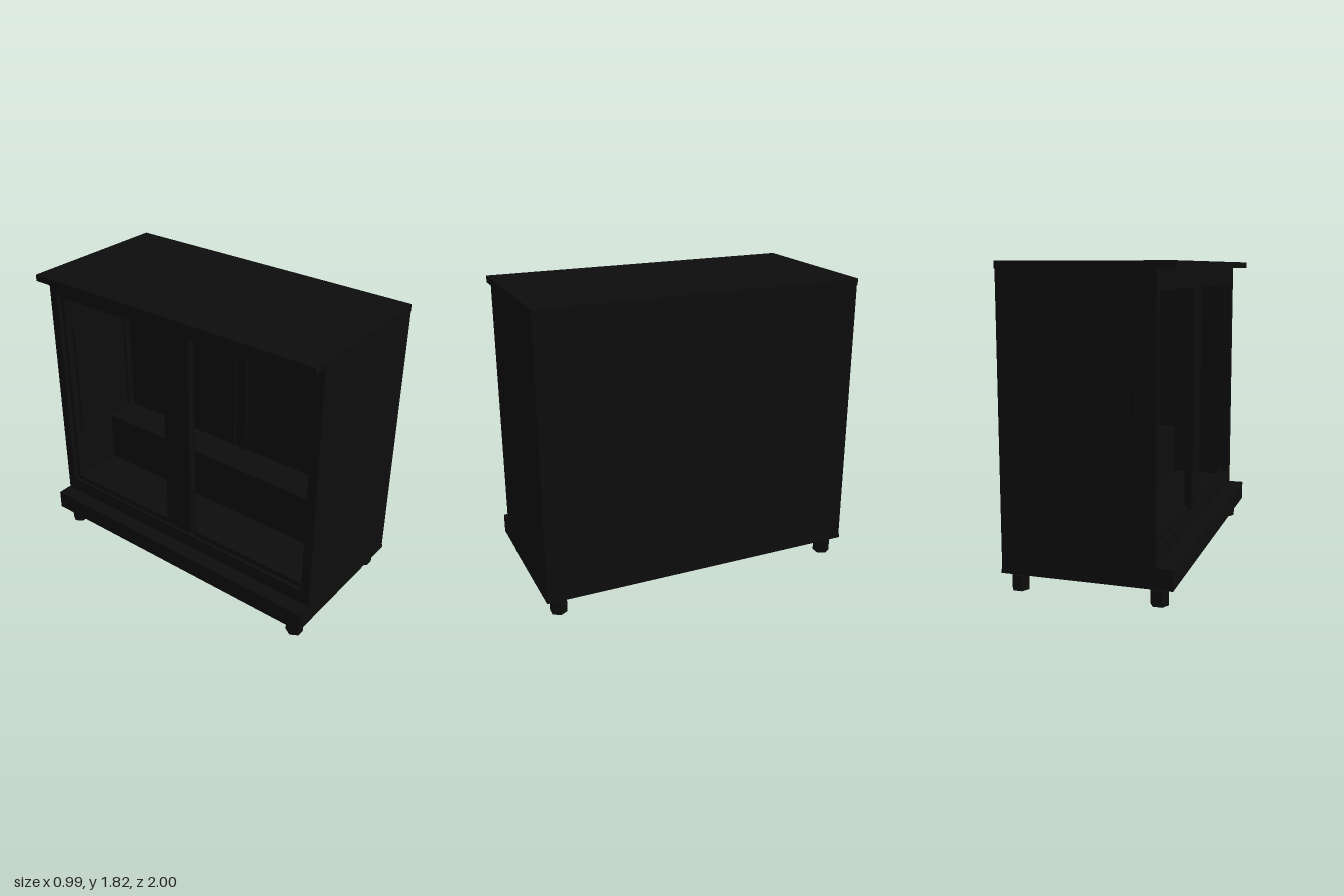
import * as THREE from 'three';

export function createModel() {
  const model = new THREE.Group();
  const black = new THREE.MeshStandardMaterial({ color: 0x0d0d0d });

  const add = (name, geometry) => {
    const mesh = new THREE.Mesh(geometry, black);
    mesh.name = name;
    model.add(mesh);
    return mesh;
  };
  // box given by its limits along each axis
  const box = (name, [x0, x1], [y0, y1], [z0, z1]) => {
    const mesh = add(name, new THREE.BoxGeometry(x1 - x0, y1 - y0, z1 - z0));
    mesh.position.set((x0 + x1) / 2, (y0 + y1) / 2, (z0 + z1) / 2);
    return mesh;
  };

  // cabinet shell, open towards -x
  const length = [-0.98, 1];
  const inside = [-0.94, 0.96];
  box('topSlab', [-0.495, 0.49], [1.78, 1.82], length);
  box('ceiling', [-0.4, 0.24], [1.7, 1.78], inside);
  box('floor', [-0.4, 0.24], [0.13, 0.29], inside);
  box('basePlate', [-0.4, 0.49], [0.11, 0.13], length);
  box('plinthLedge', [-0.495, -0.4], [0.11, 0.23], length);
  box('insulatedWall', [0.24, 0.487], [0.13, 1.78], inside);
  box('endWall', [-0.4, 0.487], [0.13, 1.78], [0.96, 0.997]);
  box('endWall', [-0.4, 0.487], [0.13, 1.78], [-0.977, -0.94]);

  // opening frame with two running tracks at top and bottom
  for (const x of [-0.4, -0.35]) {
    box('lowerTrack', [x, x + 0.02], [0.29, 0.32], inside);
    box('upperTrack', [x, x + 0.02], [1.67, 1.7], inside);
    box('jamb', [x, x + 0.02], [0.29, 1.7], [-0.94, -0.92]);
    box('jamb', [x, x + 0.02], [0.29, 1.7], [0.94, 0.96]);
  }
  box('centrePost', [-0.38, -0.33], [0.29, 1.7], [-0.09, 0.1]);

  // raised step along the rear of the interior
  box('interiorStep', [0.01, 0.24], [0.29, 0.625], inside);

  // slim shelf rails on the inner walls
  for (const x of [-0.27, 0.19]) {
    box('shelfRail', [x - 0.012, x + 0.012], [0.65, 1.41], [0.945, 0.96]);
    box('shelfRail', [x - 0.012, x + 0.012], [0.65, 1.41], [-0.94, -0.925]);
  }
  for (const z of [-0.03, 0.06]) {
    box('rearShelfRail', [0.225, 0.24], [0.625, 1.41], [z - 0.012, z + 0.012]);
  }

  // six-sided feet on short stems
  for (const x of [-0.4, 0.412]) {
    for (const z of [-0.897, 0.912]) {
      const foot = add('foot', new THREE.CylinderGeometry(0.052, 0.052, 0.088, 6).toNonIndexed());
      foot.geometry.computeVertexNormals();
      foot.position.set(x, 0.044, z);
      foot.rotation.y = Math.PI / 6;
      const stem = add('footStem', new THREE.CylinderGeometry(0.028, 0.028, 0.03, 12));
      stem.position.set(x, 0.1, z);
    }
  }

  // small latch on the end wall
  box('latchPlate', [-0.25, -0.07], [1.06, 1.1], [-0.986, -0.976]);
  const lever = box('latchLever', [-0.295, -0.255], [1.02, 1.16], [-0.996, -0.982]);
  lever.rotation.x = -0.05;

  return model;
}
